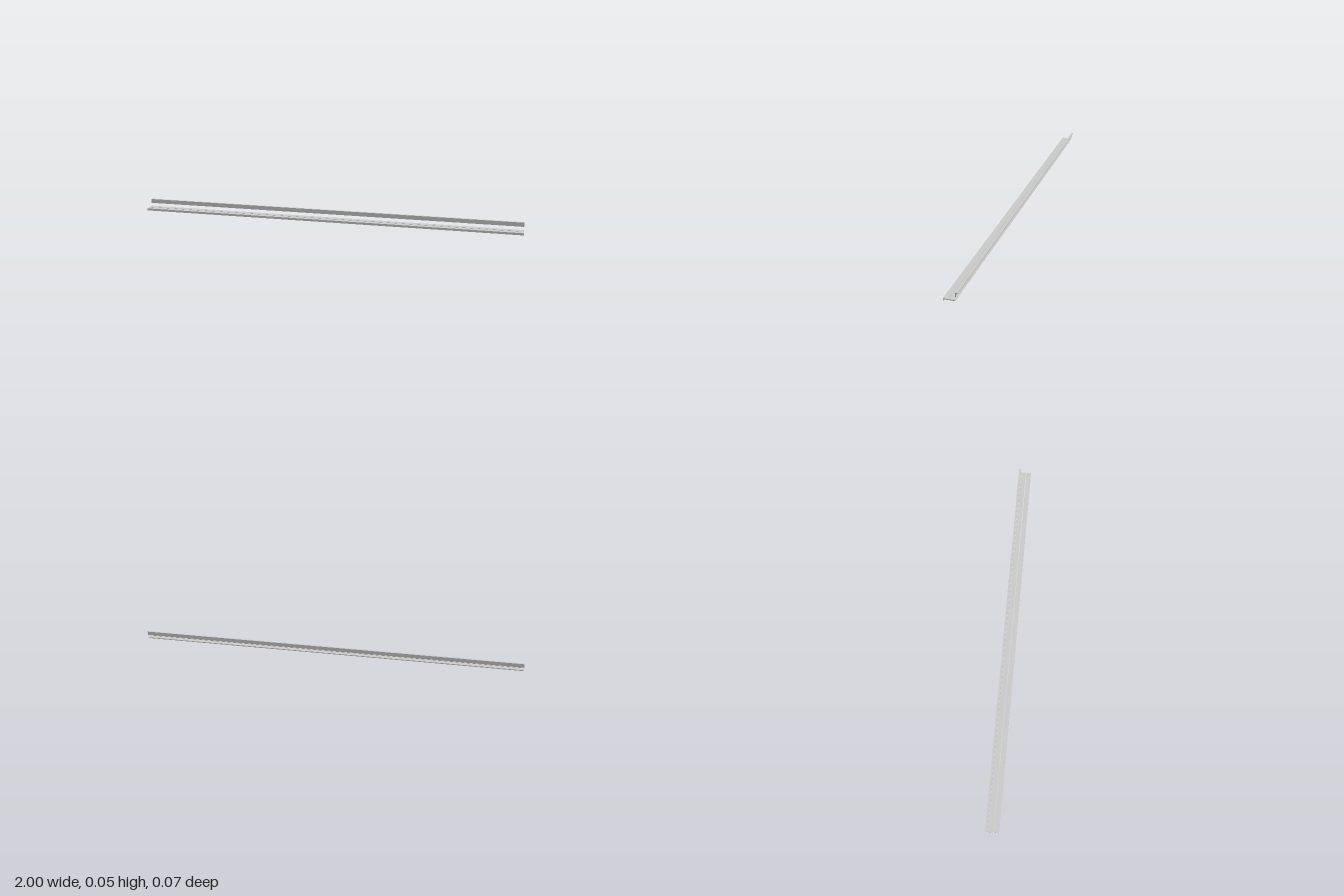
import * as THREE from 'three';

const LENGTH = 2;
const T = 0.004; // sheet thickness

// Extrude a (z, y) cross-section along x, centred on x = 0
function strip(name, section, material) {
  const shape = new THREE.Shape(section.map(([z, y]) => new THREE.Vector2(-z, y)));
  const geometry = new THREE.ExtrudeGeometry(shape, { depth: LENGTH, bevelEnabled: false });
  geometry.translate(0, 0, -LENGTH / 2).rotateY(Math.PI / 2);
  const mesh = new THREE.Mesh(geometry, material);
  mesh.name = name;
  return mesh;
}

export function createModel() {
  const group = new THREE.Group();
  group.name = 'trimStrips';
  const material = new THREE.MeshStandardMaterial({ color: 0xcccccc });

  const front = 0.0335, back = -0.0335;
  const deck = 0.0112; // top of the two flat strips
  const top = 0.0488; // top of the raised angle
  const face = -0.0225; // front face of the raised angle

  // Front nosing: flat tread with a lip turned down to the ground
  group.add(strip('frontNosing', [
    [front, 0], [front, deck], [0.008, deck], [0.008, deck - T],
    [front - T, deck - T], [front - T, 0],
  ], material));

  // Flat strip behind the nosing
  group.add(strip('flatStrip', [
    [0.005, deck - T], [0.005, deck], [-0.022, deck], [-0.022, deck - T],
  ], material));

  // Raised angle: upright face with a flange turned to the back
  group.add(strip('rearAngle', [
    [face, 0.0272], [face, top], [back, top], [back, top - T],
    [face - T, top - T], [face - T, 0.0272],
  ], material));

  return group;
}
